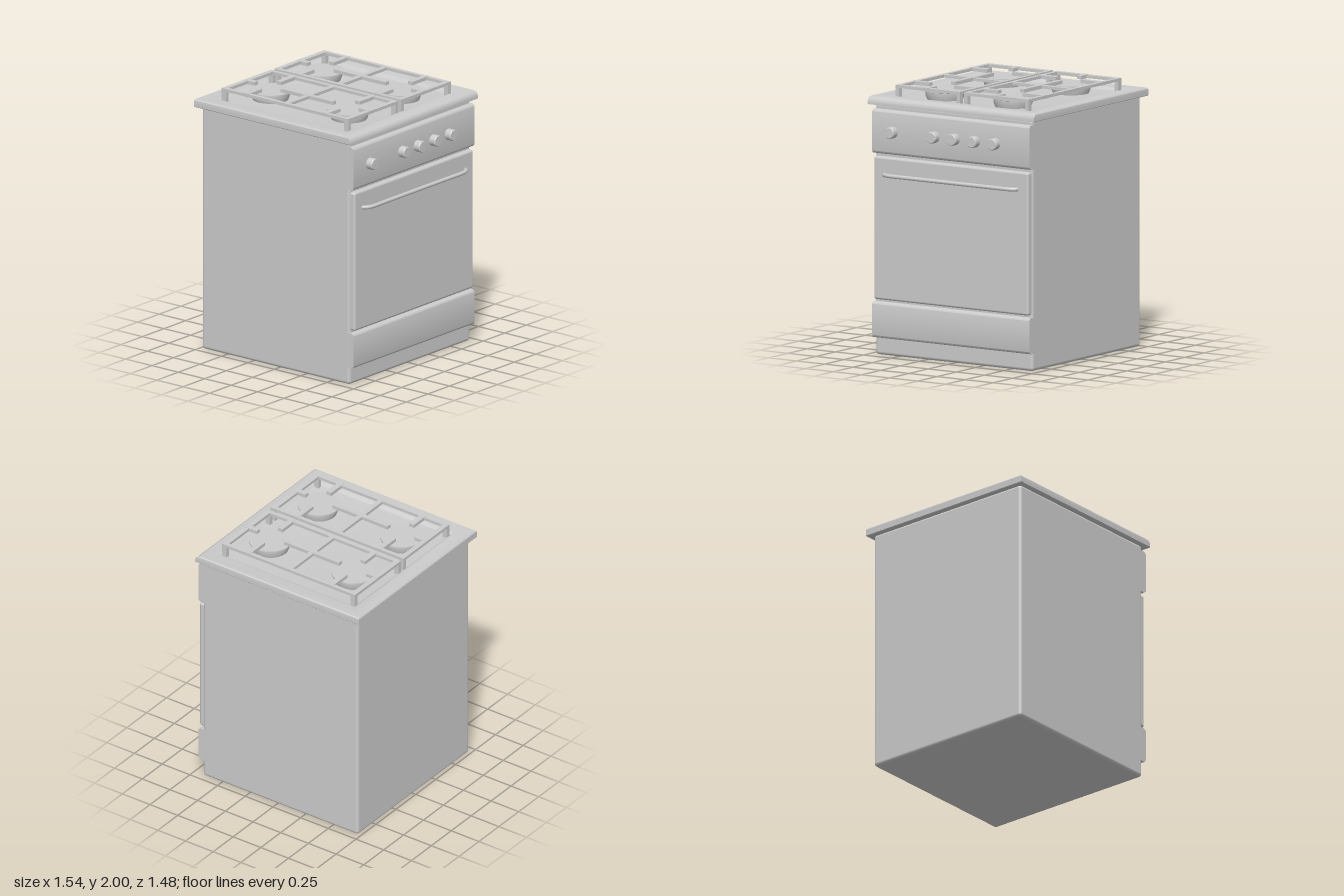
import * as THREE from 'three';
import { toCreasedNormals } from 'three/addons/utils/BufferGeometryUtils.js';
import { RoundedBoxGeometry } from 'three/addons/geometries/RoundedBoxGeometry.js';

const grey = new THREE.MeshStandardMaterial({ color: 0xcccccc });

function add(parent, name, geometry, x = 0, y = 0, z = 0) {
  const mesh = new THREE.Mesh(geometry, grey);
  mesh.name = name;
  mesh.position.set(x, y, z);
  parent.add(mesh);
  return mesh;
}

// Box given by its limits on each axis, with optional rounded edges
function block(parent, name, [x0, x1], [y0, y1], [z0, z1], radius = 0) {
  const size = [x1 - x0, y1 - y0, z1 - z0];
  const geometry = radius
    ? new RoundedBoxGeometry(...size, 4, radius)
    : new THREE.BoxGeometry(...size);
  return add(parent, name, geometry, (x0 + x1) / 2, (y0 + y1) / 2, (z0 + z1) / 2);
}

// Front strip with rounded outer top and bottom edges, extruded across the width
function frontStrip(parent, name, y0, y1, halfWidth) {
  const r = 0.028, xBack = 0.65, xFront = 0.71;
  const s = new THREE.Shape();
  s.moveTo(xBack, y0);
  s.lineTo(xFront - r, y0);
  s.absarc(xFront - r, y0 + r, r, -Math.PI / 2, 0, false);
  s.absarc(xFront - r, y1 - r, r, 0, Math.PI / 2, false);
  s.lineTo(xBack, y1);
  const g = new THREE.ExtrudeGeometry(s, { depth: halfWidth * 2, bevelEnabled: false, curveSegments: 6 });
  g.translate(0, 0, -halfWidth);
  return add(parent, name, toCreasedNormals(g, 0.6));
}

// Surface through rectangular rings [y, x0, x1, half depth]
function rectangleLoft(rings) {
  const positions = [], index = [];
  for (const [y, x0, x1, z] of rings) {
    positions.push(x0, y, z, x1, y, z, x1, y, -z, x0, y, -z);
  }
  for (let r = 0; r < rings.length - 1; r++) {
    for (let i = 0; i < 4; i++) {
      const a = r * 4 + i, b = r * 4 + (i + 1) % 4;
      index.push(a, b, b + 4, a, b + 4, a + 4);
    }
  }
  const g = new THREE.BufferGeometry();
  g.setAttribute('position', new THREE.Float32BufferAttribute(positions, 3));
  g.setIndex(index);
  return toCreasedNormals(g, 0.5);
}

function lathe(points, segments) {
  const g = new THREE.LatheGeometry(points.map(p => new THREE.Vector2(...p)), segments);
  return toCreasedNormals(g, 0.6);
}

// Pan support over one pair of burners, spanning z0 to z1
function makeGrate(z0, z1, burnerXs) {
  const grate = new THREE.Group();
  grate.name = 'grate';
  const x0 = -0.63, x1 = 0.57, w = 0.04, t = 0.032;
  const zMid = (z0 + z1) / 2 + 0.015, bar = [1.976, 1.998], prong = [1.974, 2.0];

  for (const x of [x0, x1 - w]) {
    block(grate, 'sideBar', [x, x + w], bar, [z0, z1]);
    for (const z of [z0, z1 - t]) block(grate, 'leg', [x, x + w], [1.885, 1.98], [z, z + t]);
  }
  for (const z of [z0, z1 - t]) block(grate, 'longBar', [x0, x1], bar, [z, z + t]);
  block(grate, 'crossBar', [-0.05, -0.01], bar, [z0, z1]);
  block(grate, 'centreBar', [-0.28, 0.215], prong, [zMid - 0.019, zMid + 0.019]);

  // Prongs reaching in over the burners
  for (const x of burnerXs) {
    block(grate, 'prong', [x - 0.022, x + 0.022], prong, [z0 + 0.002, z0 + 0.192]);
    block(grate, 'prong', [x - 0.022, x + 0.022], prong, [z1 - 0.162, z1 - 0.002]);
  }
  for (const [a, b] of [[x0 + 0.002, -0.525], [0.46, x1 - 0.002]]) {
    block(grate, 'prong', [a, b], prong, [zMid - 0.021, zMid + 0.021]);
  }
  return grate;
}

export function createModel() {
  const cooker = new THREE.Group();
  cooker.name = 'cooker';

  // Cabinet
  block(cooker, 'body', [-0.73, 0.67], [0, 1.87], [-0.7, 0.7], 0.025);

  // Front panels
  frontStrip(cooker, 'drawer', 0.13, 0.4, 0.7);
  frontStrip(cooker, 'controlPanel', 1.5, 1.83, 0.7);
  block(cooker, 'ovenDoor', [0.64, 0.71], [0.417, 1.48], [-0.688, 0.688], 0.018);

  // Oven door handle with ends bent back to the door
  const bend = new THREE.CatmullRomCurve3([
    [0.7, 0.595], [0.722, 0.585], [0.742, 0.555], [0.749, 0.52], [0.749, 0.3],
    [0.749, -0.3], [0.749, -0.52], [0.742, -0.555], [0.722, -0.585], [0.7, -0.595],
  ].map(([x, z]) => new THREE.Vector3(x, 1.35, z)));
  add(cooker, 'doorHandle', new THREE.TubeGeometry(bend, 80, 0.015, 12));

  // Control knobs
  const knobShape = lathe([[0, -0.01], [0.043, -0.01], [0.043, 0.047], [0.038, 0.054], [0, 0.054]], 24);
  for (const z of [0.515, 0.143, -0.037, -0.217, -0.397]) {
    add(cooker, 'knob', knobShape, 0.71, 1.67, z).rotation.z = -Math.PI / 2;
  }

  // Hob top: rounded front edge, shallow sunken pan
  add(cooker, 'hobTop', rectangleLoft([
    [1.86, 0, 0, 0],
    [1.86, -0.765, 0.71, 0.735],
    [1.865, -0.77, 0.71, 0.74],
    [1.882, -0.77, 0.71, 0.74],
    [1.9, -0.77, 0.703, 0.74],
    [1.912, -0.77, 0.692, 0.738],
    [1.92, -0.765, 0.67, 0.73],
    [1.92, -0.66, 0.6, 0.635],
    [1.915, -0.645, 0.585, 0.62],
    [1.897, -0.625, 0.565, 0.6],
    [1.892, -0.6, 0.54, 0.575],
    [1.892, 0, 0, 0],
  ]));

  // Burners
  const burnerXs = [-0.403, 0.343];
  const burnerShape = lathe([
    [0.13, 1.885], [0.145, 1.925], [0.146, 1.95], [0.158, 1.953], [0.158, 1.962], [0, 1.962],
  ], 40);
  for (const x of burnerXs) {
    for (const z of [-0.303, 0.303]) add(cooker, 'burner', burnerShape, x, 0, z);
  }

  // Pan supports
  cooker.add(makeGrate(-0.595, -0.02, burnerXs), makeGrate(0.015, 0.59, burnerXs));
  return cooker;
}
